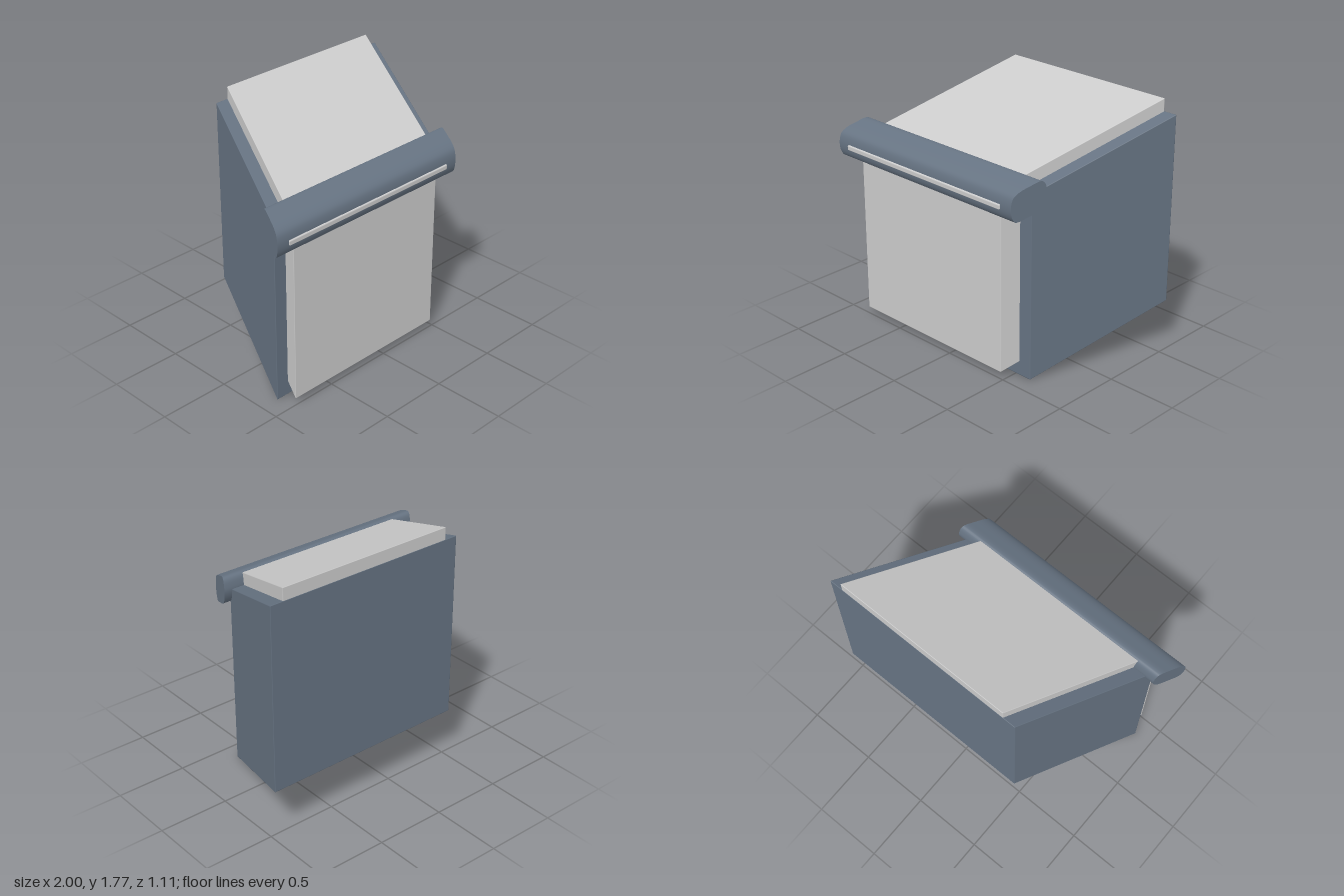
import * as THREE from 'three';
import { toCreasedNormals } from 'three/addons/utils/BufferGeometryUtils.js';
import { RoundedBoxGeometry } from 'three/addons/geometries/RoundedBoxGeometry.js';

const dark = new THREE.MeshStandardMaterial({ color: 0x667382 });
const light = new THREE.MeshStandardMaterial({ color: 0xcccccc });

// Oblique slant: everything drifts right and up as it goes back from z = 0.375
const SHEAR = 0.402, Z0 = 0.375;
const slant = new THREE.Matrix4().set(
  1, 0, -SHEAR, SHEAR * Z0,
  0, 1, -SHEAR, SHEAR * Z0,
  0, 0, 1, 0,
  0, 0, 0, 1);

function addPart(group, name, geometry, material) {
  const mesh = new THREE.Mesh(geometry.applyMatrix4(slant), material);
  mesh.name = name;
  group.add(mesh);
}

// Box with a hairline bevel, given by its limits
function boxBetween([x0, x1], [y0, y1], [z0, z1], bevel) {
  return new RoundedBoxGeometry(x1 - x0, y1 - y0, z1 - z0, 1, bevel)
    .translate((x0 + x1) / 2, (y0 + y1) / 2, (z0 + z1) / 2);
}

// Rounded bar along x from a (z, y) profile
function handleBar(x0, x1) {
  const profile = [
    [0.513, 1.227], [0.528, 1.243], [0.543, 1.28], [0.549, 1.322], [0.546, 1.367],
    [0.532, 1.402], [0.5, 1.418], [0.43, 1.421], [0.362, 1.416], [0.339, 1.393],
    [0.325, 1.349], [0.32, 1.31], [0.329, 1.267], [0.348, 1.236], [0.376, 1.223], [0.44, 1.221],
  ].map(([z, y]) => new THREE.Vector2(z, y));
  const closed = new THREE.CatmullRomCurve3(profile.map(p => new THREE.Vector3(p.x, p.y, 0)), true);
  const shape = new THREE.Shape(closed.getPoints(48).slice(0, -1).map(p => new THREE.Vector2(p.x, p.y)));
  const geometry = new THREE.ExtrudeGeometry(shape, { depth: x1 - x0, bevelEnabled: false });
  geometry.rotateY(-Math.PI / 2).translate(x1, 0, 0);
  return toCreasedNormals(geometry, 0.7);
}

export function createModel() {
  const group = new THREE.Group();
  group.name = 'slantedCabinet';

  // Outer shell and the paler block standing proud of its front and top
  addPart(group, 'outerShell', boxBetween([-0.87, 0.625], [0, 1.315], [-0.555, 0.375], 0.005), dark);
  addPart(group, 'innerBlock', boxBetween([-0.775, 0.53], [0.1, 1.403], [-0.553, 0.5], 0.005), light);

  // Rounded bar across the top front edge, with its thin pale strip
  addPart(group, 'frontBar', handleBar(-0.932, 0.685), dark);
  addPart(group, 'barStrip', boxBetween([-0.838, 0.595], [1.311, 1.344], [0.535, 0.558], 0.006), light);

  return group;
}
